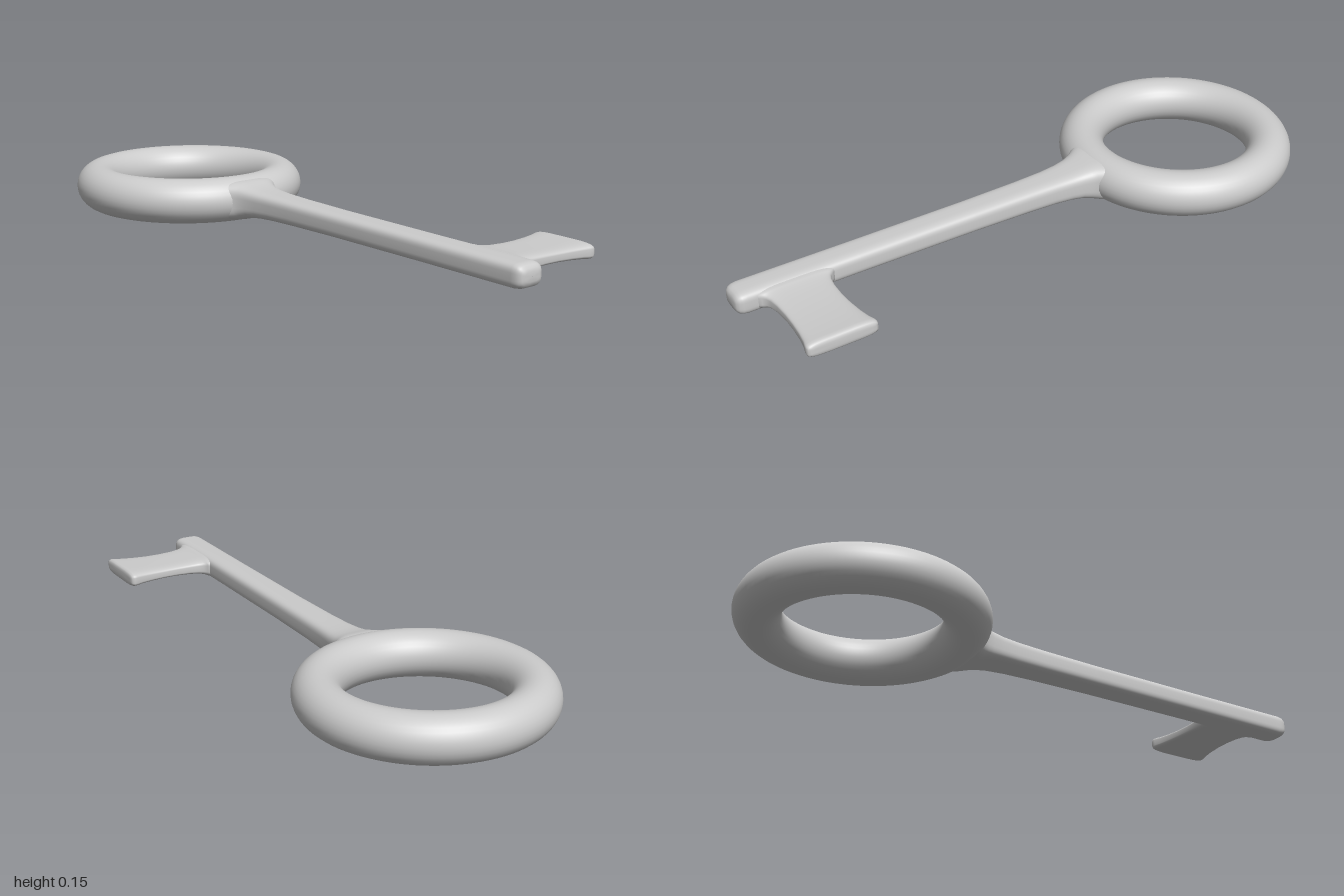
import * as THREE from 'three';

const material = new THREE.MeshStandardMaterial({ color: 0xcccccc });

// Lofts rounded-rectangle sections [distance, halfWidth, halfHeight] along +z.
function loft(stations, power, sides = 56) {
  const positions = [], index = [];
  const soft = (v) => Math.sign(v) * Math.abs(v) ** (2 / power);
  stations.forEach(([d, w, h], i) => {
    for (let j = 0; j < sides; j++) {
      const t = (j / sides) * Math.PI * 2;
      positions.push(w * soft(Math.cos(t)), h * soft(Math.sin(t)), d);
      if (i === stations.length - 1) continue;
      const a = i * sides + j, b = i * sides + (j + 1) % sides;
      index.push(a, b, b + sides, a, b + sides, a + sides);
    }
  });
  const geometry = new THREE.BufferGeometry();
  geometry.setAttribute('position', new THREE.Float32BufferAttribute(positions, 3));
  geometry.setIndex(index);
  geometry.computeVertexNormals();
  return geometry;
}

function addPart(group, name, geometry, x) {
  const mesh = new THREE.Mesh(geometry, material);
  mesh.name = name;
  mesh.position.set(x, 0.075, 0);
  group.add(mesh);
  return mesh;
}

export function createModel() {
  const key = new THREE.Group();
  key.name = 'key';

  // Ring handle lying flat
  const ring = new THREE.TorusGeometry(0.3125, 0.0735, 32, 96).rotateX(Math.PI / 2);
  addPart(key, 'ringHandle', ring, -0.615);

  // Shaft, flared where it blends into the ring, rounded at the tip
  const shaft = loft([
    [-0.31, 0.13, 0.064], [-0.27, 0.113, 0.064], [-0.255, 0.1, 0.063], [-0.24, 0.088, 0.06],
    [-0.225, 0.08, 0.056], [-0.2, 0.071, 0.05], [-0.16, 0.064, 0.045], [-0.1, 0.058, 0.042],
    [0, 0.054, 0.04], [0.2, 0.051, 0.038], [0.6, 0.05, 0.037], [0.965, 0.05, 0.037],
    [0.98, 0.048, 0.035], [0.99, 0.044, 0.031], [0.997, 0.037, 0.024], [1, 0.027, 0.014],
    [1, 0.0005, 0.0005],
  ], 3.6);
  addPart(key, 'shaft', shaft, 0).rotation.y = Math.PI / 2;

  // Bit: thin waisted blade, widening towards root and outer edge
  const bit = loft([
    [0.02, 0.135, 0.033], [0.048, 0.126, 0.031], [0.055, 0.113, 0.029], [0.065, 0.104, 0.027],
    [0.08, 0.098, 0.025], [0.11, 0.093, 0.022], [0.16, 0.091, 0.02], [0.21, 0.093, 0.0195],
    [0.26, 0.098, 0.021], [0.3, 0.105, 0.023], [0.32, 0.111, 0.025], [0.331, 0.112, 0.025],
    [0.338, 0.109, 0.022], [0.341, 0.102, 0.017], [0.342, 0.09, 0.01], [0.342, 0.0005, 0.0005],
  ], 4.5);
  addPart(key, 'bit', bit, 0.813).rotation.y = Math.PI;

  return key;
}
